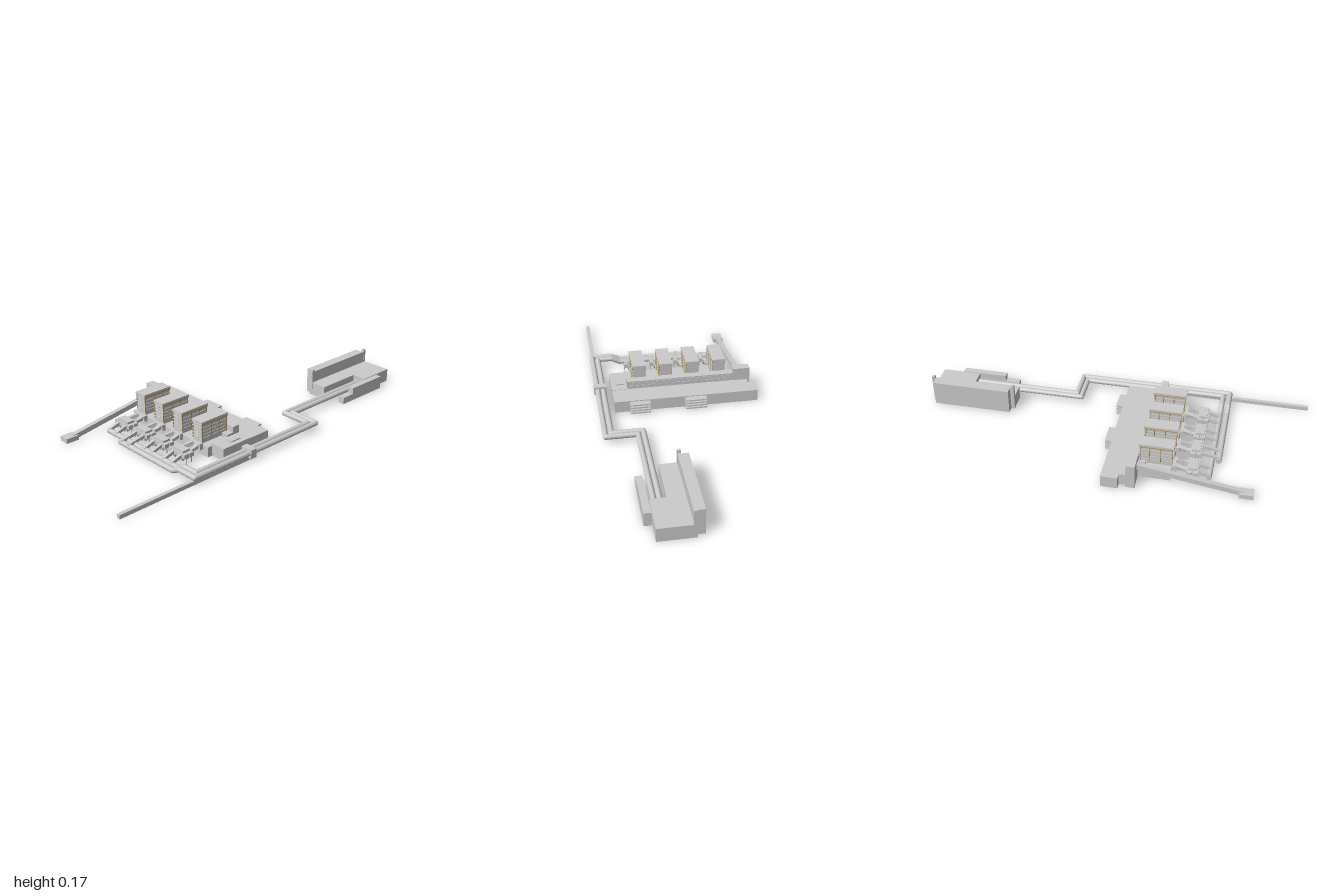
import * as THREE from 'three';

const grey = new THREE.MeshStandardMaterial({ color: 0xcccccc, flatShading: true });
const smooth = new THREE.MeshStandardMaterial({ color: 0xcccccc });
const orange = new THREE.MeshStandardMaterial({ color: 0xb8862b });

// Box given by its limits on each axis
function box(parent, name, x0, x1, y0, y1, z0, z1, mat = grey) {
  const m = new THREE.Mesh(new THREE.BoxGeometry(x1 - x0, y1 - y0, z1 - z0), mat);
  m.position.set((x0 + x1) / 2, (y0 + y1) / 2, (z0 + z1) / 2);
  m.name = name;
  parent.add(m);
  return m;
}

// Straight round or square bar between two points
function bar(parent, name, a, b, r, sides = 14, r2 = r) {
  const A = new THREE.Vector3(...a), B = new THREE.Vector3(...b);
  const dir = B.clone().sub(A);
  const g = new THREE.CylinderGeometry(r2, r, dir.length(), sides);
  if (sides === 4) g.rotateY(Math.PI / 4);
  const m = new THREE.Mesh(g, sides === 4 ? grey : smooth);
  m.position.copy(A).add(B).multiplyScalar(0.5);
  m.quaternion.setFromUnitVectors(new THREE.Vector3(0, 1, 0), dir.normalize());
  m.name = name;
  parent.add(m);
}

// Pipe run with ball elbows at the bends
function pipeRun(parent, name, pts, r) {
  const run = new THREE.Group();
  run.name = name;
  pts.forEach((p, i) => {
    if (i === 0) return;
    bar(run, 'pipeLength', pts[i - 1], p, r);
    if (i < pts.length - 1) {
      const elbow = new THREE.Mesh(new THREE.SphereGeometry(r, 14, 10), smooth);
      elbow.position.set(...p);
      elbow.name = 'elbow';
      run.add(elbow);
    }
  });
  parent.add(run);
}

// Boiler tower with cap, floors, corner posts and side braces
function boiler(x) {
  const g = new THREE.Group();
  g.name = 'boilerTower';
  box(g, 'boilerBody', x - 0.031, x + 0.031, 0.06, 0.162, 0.2, 0.362);
  box(g, 'boilerCap', x - 0.035, x + 0.035, 0.16, 0.172, 0.197, 0.368);
  for (const y of [0.085, 0.102, 0.12, 0.138, 0.153])
    box(g, 'floor', x - 0.034, x + 0.034, y, y + 0.003, 0.2, 0.366);
  for (const s of [-1, 1]) {
    const px = x + s * 0.033;
    for (const z of [0.207, 0.25, 0.305, 0.363])
      box(g, 'post', px - 0.0015, px + 0.0015, 0.075, 0.16, z - 0.0015, z + 0.0015, orange);
    box(g, 'topBeam', px - 0.0015, px + 0.0015, 0.156, 0.16, 0.2, 0.366, orange);
  }
  // Stair flights on the front
  for (let i = 0; i < 8; i++)
    box(g, 'stairLanding', x - 0.008, x + 0.008, 0.082 + i * 0.01, 0.084 + i * 0.01, 0.362, 0.368);
  return g;
}

// Dust filter in front of a boiler, with its ducts and hoppers
function dustFilter(x, endZ) {
  const g = new THREE.Group();
  g.name = 'dustFilter';
  box(g, 'filterBox', x - 0.058, x + 0.058, 0.03, 0.052, 0.435, 0.462);
  box(g, 'filterBox', x - 0.058, x + 0.058, 0.03, 0.052, 0.466, 0.492);
  box(g, 'filterTop', x - 0.038, x + 0.038, 0.03, 0.063, 0.442, 0.485);
  box(g, 'filterInlet', x - 0.038, x + 0.038, 0.03, 0.062, 0.36, 0.38);
  for (const s of [-1, 1]) {
    const dx = x + s * 0.028;
    bar(g, 'inletDuct', [dx - s * 0.01, 0.05, 0.375], [dx - s * 0.003, 0.045, 0.415], 0.016, 4, 0.012);
    bar(g, 'inletNeck', [dx - s * 0.003, 0.045, 0.41], [dx, 0.042, 0.44], 0.011, 4, 0.016);
    bar(g, 'outletDuct', [dx, 0.04, 0.49], [dx, 0.02, endZ], 0.011, 4);
    for (const z of [0.449, 0.479]) {
      bar(g, 'hopper', [dx, 0.008, z], [dx, 0.03, z], 0.004, 4, 0.018);
      for (const k of [-1, 1]) {
        const lx = x + s * (0.029 + k * 0.026);
        box(g, 'leg', lx - 0.0015, lx + 0.0015, 0, 0.03, z - 0.002, z + 0.002);
      }
    }
  }
  return g;
}

export function createModel() {
  const model = new THREE.Group();
  model.name = 'powerPlant';

  // Main hall: turbine hall, bunker wall and boiler base
  const hall = new THREE.Group();
  hall.name = 'mainHall';
  model.add(hall);
  box(hall, 'turbineHall', -0.395, 0.33, 0, 0.062, 0.035, 0.158);
  box(hall, 'turbineHallEnd', -0.428, -0.39, 0, 0.062, 0.035, 0.12);
  box(hall, 'bunkerWall', -0.33, 0.25, 0, 0.105, 0.157, 0.197);
  box(hall, 'bunkerTower', -0.41, -0.32, 0, 0.13, 0.155, 0.2);
  box(hall, 'boilerBase', -0.32, 0.25, 0, 0.052, 0.19, 0.36);
  box(hall, 'boilerRear', -0.3, 0.25, 0.05, 0.075, 0.19, 0.232);
  box(hall, 'sideAnnex', 0.24, 0.33, 0, 0.064, 0.155, 0.333);
  box(hall, 'annexRoof', 0.265, 0.305, 0.06, 0.07, 0.2, 0.26);
  // Window strips along the rear of the bunker wall
  for (let i = 0; i < 20; i++)
    for (const y of [0.072, 0.089]) {
      const x = -0.305 + i * 0.0272;
      box(hall, 'window', x, x + 0.019, y, y + 0.009, 0.1545, 0.158);
    }
  // Louvred transformer bays on the rear
  for (const [x0, x1] of [[-0.15, -0.04], [0.145, 0.25]]) {
    box(hall, 'bayCore', x0 + 0.005, x1 - 0.005, 0, 0.055, 0.012, 0.036);
    for (let i = 0; i < 4; i++)
      box(hall, 'louvre', x0, x1, 0.004 + i * 0.015, 0.012 + i * 0.015, 0, 0.036);
  }

  // Four boilers with their filters
  [-0.25, -0.107, 0.036, 0.18].forEach((x, i) => {
    model.add(boiler(x));
    model.add(dustFilter(x + (i < 2 ? 0.004 : -0.004), i === 1 ? 0.588 : 0.552));
  });

  // Inclined coal conveyor and its loading house
  bar(model, 'conveyor', [-0.35, 0.095, 0.19], [-0.35, 0.014, 0.72], 0.018, 4);
  box(model, 'loadingHouse', -0.379, -0.326, 0, 0.024, 0.7, 0.77);

  // Twin gas pipes
  const r = 0.0135, low = 0.0135, hi = 0.036;
  pipeRun(model, 'innerPipe', [[-0.285, low, 0.545], [0.25, low, 0.545], [0.295, hi, 0.545],
    [0.372, hi, 0.545], [0.372, hi, -0.207], [0.213, hi, -0.207], [0.213, hi, -0.81]], r);
  pipeRun(model, 'outerPipe', [[-0.148, low, 0.579], [0.25, low, 0.579], [0.295, hi, 0.579],
    [0.402, hi, 0.579], [0.402, hi, -0.235], [0.241, hi, -0.235], [0.241, hi, -0.81]], r);
  box(model, 'pipeCollar', 0.355, 0.421, 0.012, 0.058, 0.205, 0.241);

  // Long ground channel under the pipes
  box(model, 'groundChannel', 0.384, 0.403, 0, 0.02, 0.2, 1);

  // Separate rear building
  const rear = new THREE.Group();
  rear.name = 'rearBuilding';
  model.add(rear);
  box(rear, 'tallHall', 0.047, 0.1, 0, 0.132, -0.98, -0.565);
  for (const z of [-1, -0.56])
    box(rear, 'gableWall', 0.084, 0.102, 0, 0.145, z, z + 0.015);
  box(rear, 'tallHallFront', 0.084, 0.1, 0, 0.132, -0.99, -0.55);
  box(rear, 'lowHall', 0.09, 0.187, 0, 0.07, -1, -0.547);
  box(rear, 'endHall', 0.18, 0.265, 0, 0.07, -1, -0.795);
  box(rear, 'sideGallery', 0.268, 0.303, 0, 0.036, -0.89, -0.575);
  box(rear, 'sideGalleryUpper', 0.27, 0.303, 0.03, 0.07, -0.89, -0.65);
  box(rear, 'galleryLink', 0.255, 0.275, 0, 0.055, -0.88, -0.8);

  return model;
}
